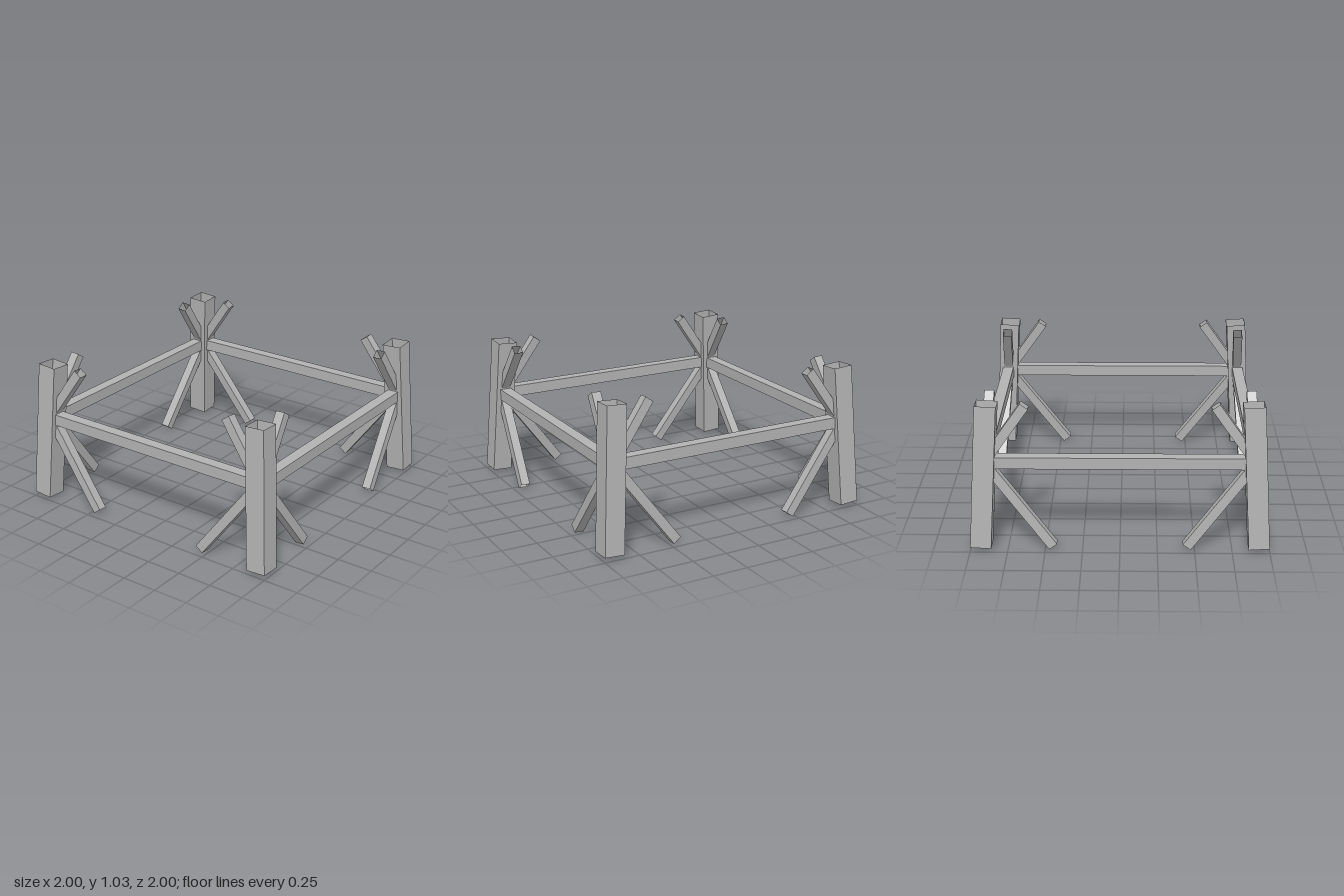
import * as THREE from 'three';

const steel = new THREE.MeshStandardMaterial({ color: 0xb2b2b2, side: THREE.DoubleSide });
steel.name = 'grey steel';

// Square hollow section, open at both ends, running from a to b.
// sideHint is the axis that one pair of walls should face.
function squareTube(name, a, b, width, sideHint) {
  const dir = b.clone().sub(a);
  const length = dir.length();
  dir.normalize();
  const geometry = new THREE.BoxGeometry(width, length, width);
  const index = Array.from(geometry.index.array);
  index.splice(12, 12); // drop the two end caps
  geometry.setIndex(index);
  geometry.clearGroups();

  const side = sideHint.clone().addScaledVector(dir, -sideHint.dot(dir)).normalize();
  const third = new THREE.Vector3().crossVectors(side, dir);
  const mesh = new THREE.Mesh(geometry, steel);
  mesh.name = name;
  mesh.quaternion.setFromRotationMatrix(new THREE.Matrix4().makeBasis(side, dir, third));
  mesh.position.copy(a).add(b).multiplyScalar(0.5);
  return mesh;
}

// Distance of the leaning leg axis from the centre at height y
const lean = (y) => 0.93 - 0.06 * y;

const LEG_WIDTH = 0.14;
const RAIL_WIDTH = 0.08;
const BRACE_WIDTH = 0.065;
const JOINT_Y = 0.62;

export function createModel() {
  const model = new THREE.Group();
  model.name = 'braced frame';
  const X = new THREE.Vector3(1, 0, 0);
  const Z = new THREE.Vector3(0, 0, 1);
  const V = (x, y, z) => new THREE.Vector3(x, y, z);

  // Four corners: a leaning leg with two upper and two lower braces
  for (const sx of [-1, 1]) {
    for (const sz of [-1, 1]) {
      const corner = new THREE.Group();
      corner.name = `${sz > 0 ? 'front' : 'back'}${sx > 0 ? 'Left' : 'Right'}Corner`;
      const onAxis = (y) => V(sx * lean(y), y, sz * lean(y));
      corner.add(squareTube('leg', onAxis(0.025), onAxis(1.015), LEG_WIDTH, X));

      const joint = onAxis(JOINT_Y);
      for (const [name, reach, y] of [['upperBrace', 0.62, 1.006], ['lowerBrace', 0.447, 0.022]]) {
        const hintX = V(1, 0.06 * sx, 0);
        const hintZ = V(0, 0.06 * sz, 1);
        corner.add(squareTube(name, joint, V(sx * reach, y, sz * lean(y)), BRACE_WIDTH, hintZ));
        corner.add(squareTube(name, joint, V(sx * lean(y), y, sz * reach), BRACE_WIDTH, hintX));
      }
      model.add(corner);
    }
  }

  // Level rails joining the legs
  const r = lean(JOINT_Y);
  for (const s of [-1, 1]) {
    model.add(squareTube('crossRail', V(-r, JOINT_Y, s * r), V(r, JOINT_Y, s * r), RAIL_WIDTH, Z));
    model.add(squareTube('sideRail', V(s * r, JOINT_Y, -r), V(s * r, JOINT_Y, r), RAIL_WIDTH, X));
  }
  return model;
}
